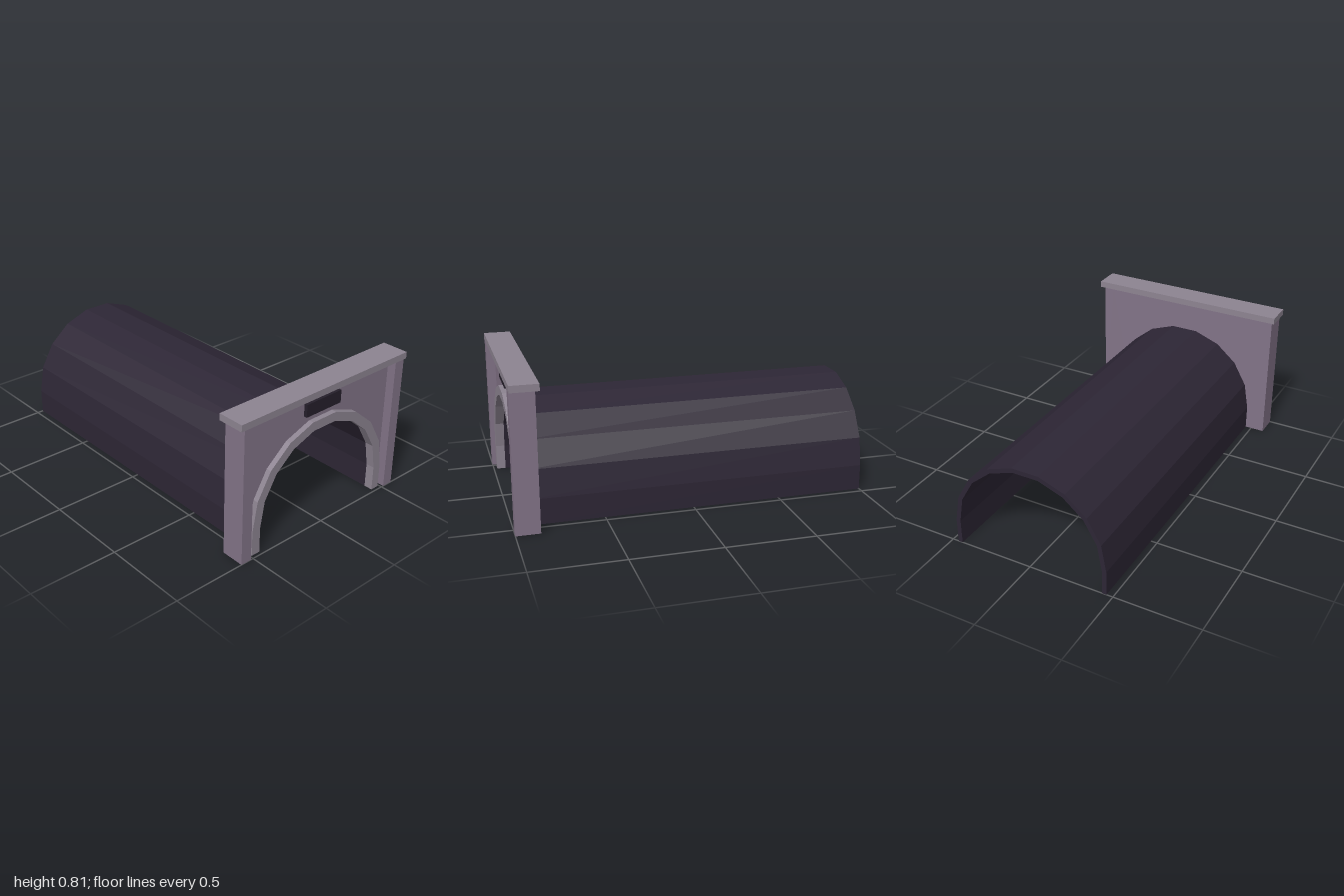
import * as THREE from 'three';

const SPRING = 0.145; // height where the arch starts to curve
const SIDES = 9;

const mat = (color) => new THREE.MeshStandardMaterial({ color, flatShading: true });

// Faceted arch from the right foot over the crown to the left foot
function archPoints(r) {
  const pts = [new THREE.Vector2(r, 0)];
  for (let i = 0; i <= SIDES; i++) {
    const a = (Math.PI * i) / SIDES;
    pts.push(new THREE.Vector2(r * Math.cos(a), SPRING + r * Math.sin(a)));
  }
  pts.push(new THREE.Vector2(-r, 0));
  return pts;
}

// Extrudes an outline with an arched opening between two z positions
function archedBody(name, outline, innerR, z0, z1, material) {
  const shape = new THREE.Shape([...outline, ...archPoints(innerR).reverse()]);
  const geo = new THREE.ExtrudeGeometry(shape, { depth: z1 - z0, bevelEnabled: false });
  geo.translate(0, 0, z0);
  const mesh = new THREE.Mesh(geo, material);
  mesh.name = name;
  return mesh;
}

// Box given by its limits
function block(name, x0, x1, y0, y1, z0, z1, material) {
  const mesh = new THREE.Mesh(new THREE.BoxGeometry(x1 - x0, y1 - y0, z1 - z0), material);
  mesh.position.set((x0 + x1) / 2, (y0 + y1) / 2, (z0 + z1) / 2);
  mesh.name = name;
  return mesh;
}

export function createModel() {
  const group = new THREE.Group();
  group.name = 'tunnelPortal';
  const stone = mat(0x827387);
  const trim = mat(0x8d8491);
  const lining = mat(0x2d2635);
  const dark = mat(0x251f2b);

  // Tunnel shell
  group.add(archedBody('tunnelShell', archPoints(0.463), 0.437, -1, 0.93, lining));

  // Recessed portal wall, its opening hidden behind the arch ring and shell
  const w = 0.515;
  const wallOutline = [[w, 0], [w, 0.775], [-w, 0.775], [-w, 0]].map(([x, y]) => new THREE.Vector2(x, y));
  group.add(archedBody('portalWall', wallOutline, 0.45, 0.866, 0.95, stone));

  // Raised ring around the opening
  group.add(archedBody('archRing', archPoints(0.49), 0.437, 0.93, 0.98, trim));

  // Side pillars
  group.add(block('leftPillar', w, 0.58, 0, 0.775, 0.866, 1, stone));
  group.add(block('rightPillar', -0.58, -w, 0, 0.775, 0.866, 1, stone));

  // Coping, shadow strip and blank plaque
  group.add(block('coping', -0.6, 0.6, 0.775, 0.813, 0.845, 1, trim));
  group.add(block('shadowStrip', -w, w, 0.749, 0.762, 0.94, 0.962, dark));
  group.add(block('plaque', -0.125, 0.125, 0.665, 0.738, 0.94, 0.97, dark));

  return group;
}
